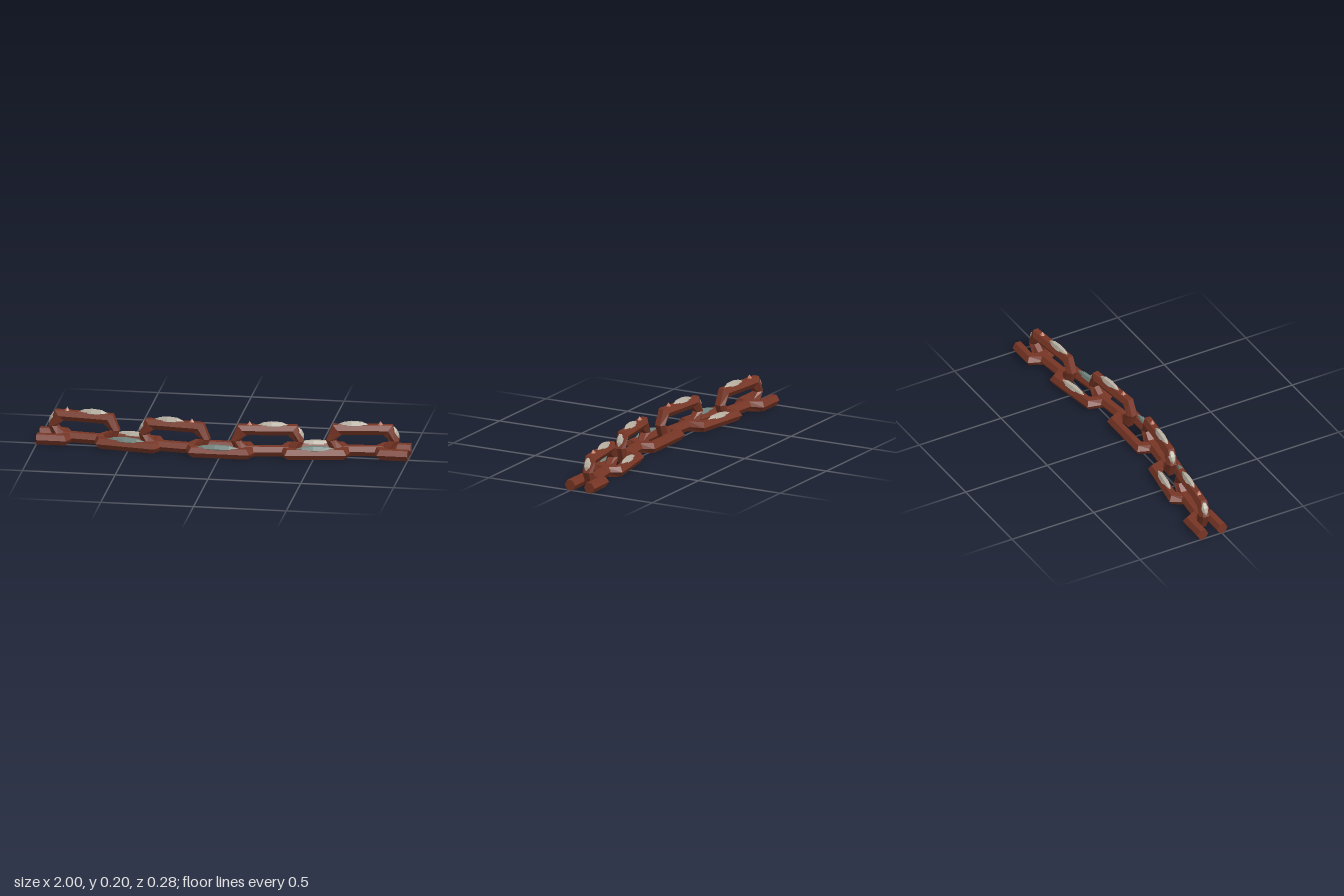
import * as THREE from 'three';

const rust = new THREE.MeshStandardMaterial({ color: 0x783625 });
const paleCrust = new THREE.MeshStandardMaterial({ color: 0xb8b0a2 });
const tealCrust = new THREE.MeshStandardMaterial({ color: 0x70837c });
const pinkSpike = new THREE.MeshStandardMaterial({ color: 0xc27a63 });
rust.name = 'rust'; paleCrust.name = 'paleCrust'; tealCrust.name = 'tealCrust'; pinkSpike.name = 'pinkSpike';

const C = 0.135, H = 0.059, T = 0.171, R = 0.032;

// Path nodes of a link: centre x, y and the in-plane outward direction of the bar section
const corner = (sx, sy) => [sx * C, sy * H, sx * 0.88, sy * 0.97];
const tip = s => [s * T, 0, s * 0.86, 0];
const fullPath = [corner(1, 1), tip(1), corner(1, -1), corner(-1, -1), tip(-1), corner(-1, 1)];
const halfPath = [[0, H, 0, 1], corner(1, 1), tip(1), corner(1, -1), [0, -H, 0, -1]];

// Sweep a faceted hexagonal bar along the path; turn rotates the hexagon
function linkGeometry(path, closed, turn) {
  const ring = ([x, y, nx, ny]) => Array.from({ length: 6 }, (_, j) => {
    const a = turn + j * Math.PI / 3, n = R * Math.cos(a);
    return [x + nx * n, y + ny * n, R * Math.sin(a)];
  });
  const rings = path.map(ring), pos = [];
  const tri = (...p) => p.forEach(v => pos.push(...v));
  const spans = closed ? rings.length : rings.length - 1;
  for (let i = 0; i < spans; i++) {
    const a = rings[i], b = rings[(i + 1) % rings.length];
    for (let j = 0; j < 6; j++) {
      const k = (j + 1) % 6;
      tri(a[j], a[k], b[k]);
      tri(a[j], b[k], b[j]);
    }
  }
  if (!closed) {
    const s = rings[0], e = rings[rings.length - 1];
    for (let j = 1; j < 5; j++) {
      tri(s[0], s[j + 1], s[j]);
      tri(e[0], e[j], e[j + 1]);
    }
  }
  const g = new THREE.BufferGeometry();
  g.setAttribute('position', new THREE.Float32BufferAttribute(pos, 3));
  g.computeVertexNormals();
  return g;
}

function add(parent, name, geometry, material) {
  const m = new THREE.Mesh(geometry, material);
  m.name = name;
  parent.add(m);
  return m;
}

// Faceted crust lump lying along x
function lump(parent, name, material, [x, y, z], [length, height, width], tilt = 0) {
  const profile = [[0, -1], [0.72, -0.6], [1, -0.1], [0.85, 0.5], [0, 1]];
  const g = new THREE.LatheGeometry(profile.map(p => new THREE.Vector2(...p)), 6)
    .rotateZ(-Math.PI / 2).scale(length / 2, height, width).toNonIndexed();
  g.computeVertexNormals();
  const m = add(parent, name, g, material);
  m.position.set(x, y, z);
  m.rotation.z = tilt;
}

function placed(root, name, x, y, z, yaw) {
  const g = new THREE.Group();
  g.name = name;
  g.position.set(x, y, z);
  g.rotation.y = yaw;
  root.add(g);
  return g;
}

export function createModel() {
  const root = new THREE.Group();
  root.name = 'rustyChain';
  const flat = linkGeometry(fullPath, true, 0).rotateX(Math.PI / 2);
  const half = linkGeometry(halfPath, false, 0).rotateX(Math.PI / 2);
  const upright = linkGeometry(fullPath, true, Math.PI / 6);

  // Lying middle link
  const middle = placed(root, 'middleLink', 0, 0.028, 0.048, 0);
  add(middle, 'middleLinkBar', flat, rust);
  lump(middle, 'middleCrust', tealCrust, [-0.01, 0.023, H + 0.003], [0.26, 0.023, 0.02]);

  for (const s of [-1, 1]) {
    // Lying links
    const lying = placed(root, 'lyingLink', s * 0.5, 0.028, -0.005, s * 0.155);
    add(lying, 'lyingLinkBar', flat, rust);
    lump(lying, 'frontCrust', tealCrust, [0, 0.023, H], [0.24, 0.023, 0.021]);
    lump(lying, 'backCrust', paleCrust, [0, 0.023, -H], [0.21, 0.022, 0.021]);

    // Cut links at the chain ends
    const end = placed(root, 'endLink', s, 0.028, -0.055, s > 0 ? Math.PI : 0);
    add(end, 'endLinkBar', half, rust);

    // Upright links: centre x, centre z, crust offset, spike offset (outward positive)
    for (const [x, z, crust, spike] of [[0.75, -0.04, -0.05, 0.095], [0.25, 0.044, 0.03, -0.095]]) {
      const link = placed(root, 'uprightLink', s * x, 0.09, z, s * 0.115);
      add(link, 'uprightLinkBar', upright, rust);
      lump(link, 'topCrust', paleCrust, [s * crust, 0.082, 0], [0.18, 0.024, 0.021]);
      lump(link, 'endCrust', paleCrust, [s * 0.173, 0.046, 0], [0.085, 0.016, 0.02], -s * 1.01);
      const cone = new THREE.ConeGeometry(0.021, 0.03, 5).toNonIndexed();
      cone.computeVertexNormals();
      add(link, 'spike', cone, pinkSpike).position.set(s * spike, 0.091, 0);
    }
  }
  return root;
}
